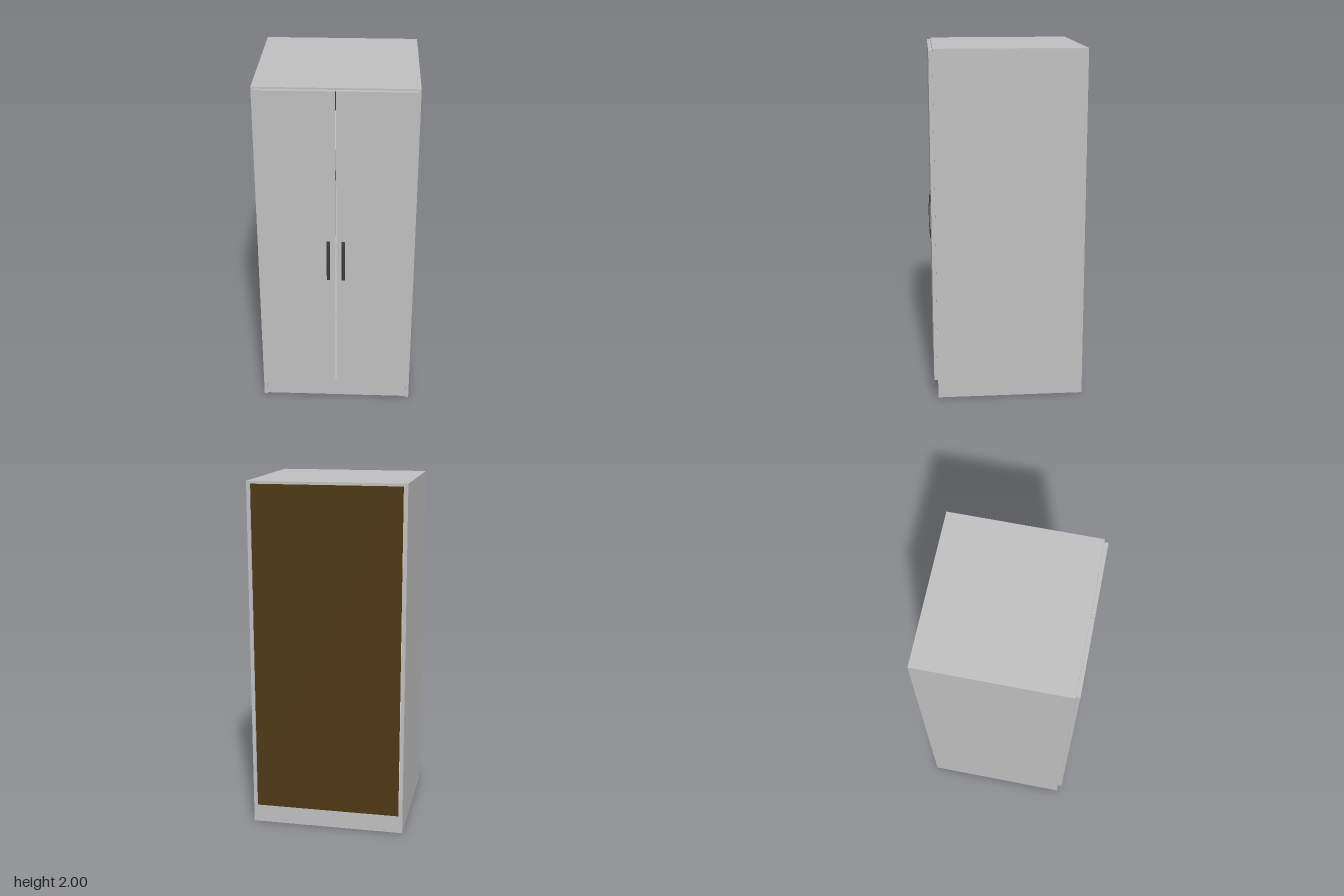
import * as THREE from 'three';

const panelGrey = new THREE.MeshStandardMaterial({ color: 0xc0c0c0 });
const backBrown = new THREE.MeshStandardMaterial({ color: 0x4e3711 });
const handleDark = new THREE.MeshStandardMaterial({ color: 0x3a3a3a });
panelGrey.name = 'panel grey';
backBrown.name = 'back brown';
handleDark.name = 'handle dark';

// Box given by its lower and upper bounds on each axis
function board(name, [x0, x1], [y0, y1], [z0, z1], material = panelGrey) {
  const mesh = new THREE.Mesh(new THREE.BoxGeometry(x1 - x0, y1 - y0, z1 - z0), material);
  mesh.position.set((x0 + x1) / 2, (y0 + y1) / 2, (z0 + z1) / 2);
  mesh.name = name;
  return mesh;
}

// Bowed pull: a side profile (outward, up) extruded across its width
function handleGeometry(width) {
  const s = new THREE.Shape();
  s.moveTo(0, -0.125);
  s.lineTo(0.005, -0.125);
  s.lineTo(0.008, -0.095);
  s.quadraticCurveTo(0.0145, 0, 0.008, 0.095);
  s.lineTo(0.005, 0.125);
  s.lineTo(0, 0.125);
  s.lineTo(0, 0.095);
  s.lineTo(0.004, 0.092);
  s.quadraticCurveTo(0.0105, 0, 0.004, -0.092);
  s.lineTo(0, -0.095);
  s.closePath();
  const g = new THREE.ExtrudeGeometry(s, { depth: width, bevelEnabled: false, curveSegments: 10 });
  g.translate(0, 0, -width / 2);
  g.rotateY(-Math.PI / 2); // outward becomes +z
  return g;
}

export function createModel() {
  const model = new THREE.Group();
  model.name = 'wardrobe';
  const W = 0.442, T = 0.02, inner = W - T, back = -0.435, front = 0.403;

  // Carcass
  model.add(board('topPanel', [-W, W], [2 - T, 2], [back, front]));
  model.add(board('bottomPanel', [-inner, inner], [0.1, 0.1 + T], [back, front]));
  model.add(board('frontPlinth', [-inner, inner], [0, 0.1], [front - 0.01 - T, front - 0.01]));
  model.add(board('backPlinth', [-inner, inner], [0, 0.1], [back, back + T]));
  model.add(board('backPanel', [-0.418, 0.418], [0.105, 1.985], [-0.438, back + 0.001], backBrown));

  // Inner shelves
  for (const y of [0.58, 1.05, 1.53]) {
    model.add(board('shelf', [-inner, inner], [y - T / 2, y + T / 2], [back + 0.002, front - 0.02]));
  }

  // Sides, doors and handles, mirrored
  const pull = handleGeometry(0.019);
  for (const [side, s] of [['left', 1], ['right', -1]]) {
    const span = (a, b) => (s > 0 ? [a, b] : [-b, -a]);
    model.add(board(side + 'SidePanel', span(inner, W), [0, 2 - T], [back, front]));
    model.add(board(side + 'Door', span(0.003, 0.43), [0.105, 1.99], [front + 0.0005, 0.425]));
    const handle = new THREE.Mesh(pull, handleDark);
    handle.name = side + 'Handle';
    handle.position.set(s * 0.042, 0.975, 0.425);
    model.add(handle);
  }
  return model;
}
